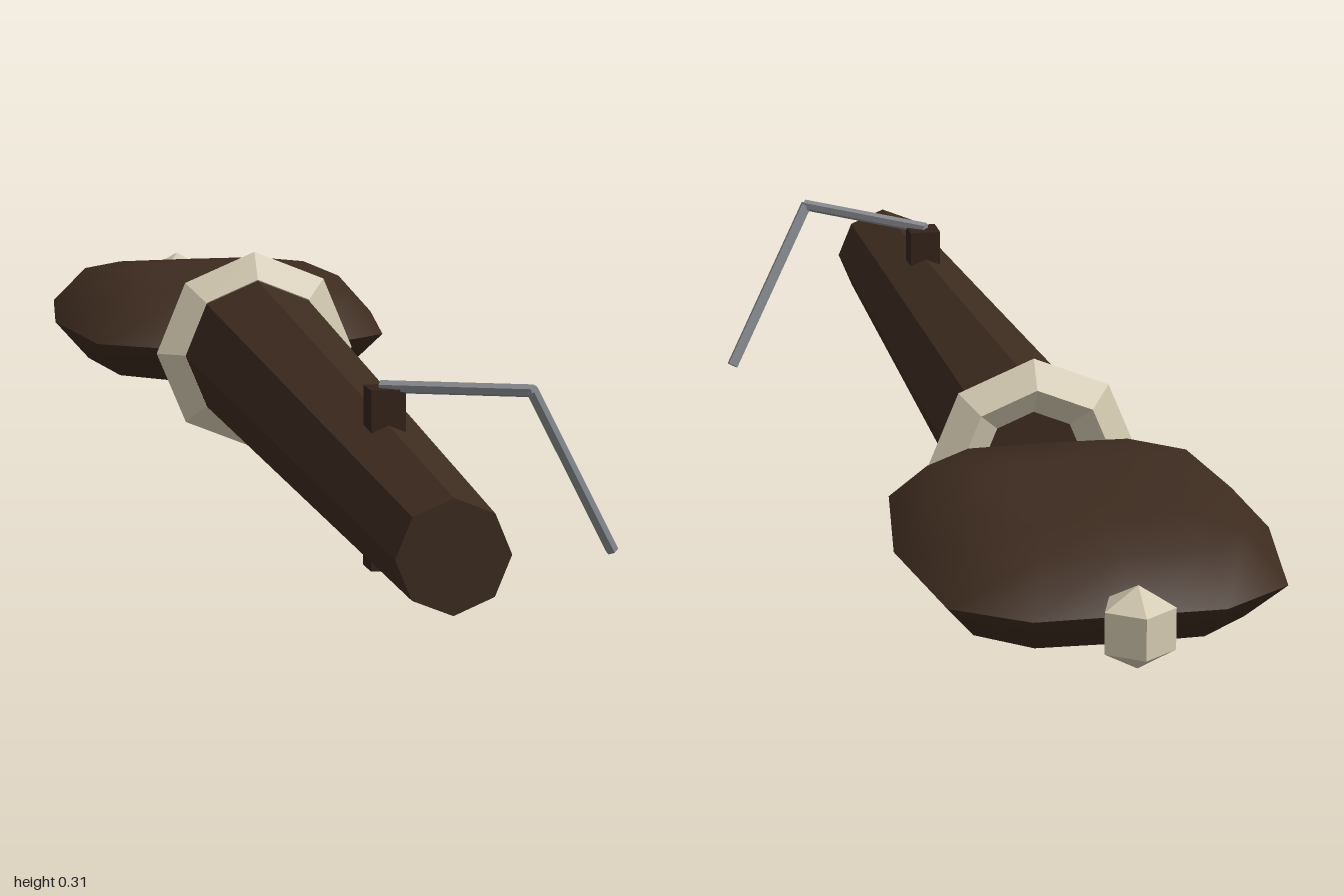
import * as THREE from 'three';
import { toCreasedNormals } from 'three/addons/utils/BufferGeometryUtils.js';

const AX = -0.027; // x of the peg's long axis
const AY = 0.157;  // y of the peg's long axis

export function createModel() {
  const group = new THREE.Group();
  const material = (name, color, flatShading = true) =>
    Object.assign(new THREE.MeshStandardMaterial({ color, flatShading }), { name });
  const wood = material('dark wood', 0x3d2b1f, false);
  const pinWood = material('darker wood', 0x33231a);
  const bone = material('bone', 0xd3c9b1);
  const steel = material('steel', 0x888c90);

  const add = (name, geometry, mat, x = 0, y = 0, z = 0) => {
    const mesh = new THREE.Mesh(geometry, mat);
    mesh.name = name;
    mesh.position.set(x, y, z);
    group.add(mesh);
    return mesh;
  };

  // Tapered octagonal shaft; its axis drops towards the thin front end
  const length = 1.28;
  const shaft = new THREE.CylinderGeometry(0.077, 0.115, length, 8);
  shaft.rotateX(Math.PI / 2);
  const p = shaft.attributes.position;
  for (let i = 0; i < p.count; i++) {
    const t = p.getZ(i) / length + 0.5;
    p.setY(i, p.getY(i) - 0.054 * t);
  }
  add('shaft', toCreasedNormals(shaft, 0.3), wood, AX, AY, 1 - length / 2);

  // Octagonal collar with a diamond section
  const collar = new THREE.TorusGeometry(0.115, 0.04, 4, 8);
  collar.scale(1, 1, 0.65);
  add('collar', collar, bone, AX, AY, -0.281);

  add('head', headGeometry(), wood, AX, AY, -0.615);

  // Faceted bead at the end of the head
  add('endBead', new THREE.SphereGeometry(0.0577, 5, 3, -Math.PI / 2), bone, AX, AY, -0.95);

  // Pin through the shaft
  add('pin', new THREE.BoxGeometry(0.048, 0.25, 0.048), pinWood, AX, 0.13, 0.61);

  // Bent string end
  const bend = [[-0.03, 0.256, 0.61], [0.144, 0.267, 0.744], [0.281, 0.027, 0.66]]
    .map((c) => new THREE.Vector3(...c));
  for (let i = 0; i < 2; i++) {
    const dir = bend[i + 1].clone().sub(bend[i]);
    const rod = add(i ? 'stringTail' : 'stringLead',
      new THREE.CylinderGeometry(0.009, 0.009, dir.length() + 0.004, 6), steel);
    rod.position.copy(bend[i]).addScaledVector(dir, 0.5);
    rod.quaternion.setFromUnitVectors(new THREE.Vector3(0, 1, 0), dir.normalize());
  }
  return group;
}

// Flat pillow-shaped head: crown, shoulder loop, sharp equator loop, mirrored below
function headGeometry() {
  // one quadrant of each loop as [x, z], mirrored into 12 points
  const loop = (quarter, y) => {
    const [a, b, c, d] = quarter;
    const neg = (q, sx, sz) => [q[0] * sx, q[1] * sz];
    return [a, b, c, d, neg(c, -1, 1), neg(b, -1, 1), neg(a, -1, 1),
      neg(b, -1, -1), neg(c, -1, -1), neg(d, 1, -1), neg(c, 1, -1), neg(b, 1, -1)]
      .map(([x, z]) => [x, y, z]);
  };
  const edge = [[0.262, 0], [0.23, 0.225], [0.13, 0.295], [0, 0.295]];
  const shoulder = [[0.208, 0], [0.185, 0.17], [0.115, 0.232], [0, 0.236]];
  const inner = [[0.12, 0], [0.1, 0.09], [0.065, 0.12], [0, 0.125]];
  const rings = [loop(inner, 0.073), loop(shoulder, 0.061), loop(edge, 0),
    loop(shoulder, -0.061), loop(inner, -0.073)];
  const positions = [0, 0.078, 0, ...rings.flat(2), 0, -0.078, 0];
  const n = 12, last = 1 + rings.length * n, index = [];
  for (let j = 0; j < n; j++) {
    const k = (j + 1) % n;
    index.push(0, 1 + k, 1 + j);
    for (let r = 0; r < rings.length - 1; r++) {
      const a = 1 + r * n + j, b = 1 + r * n + k;
      index.push(a, b, b + n, a, b + n, a + n);
    }
    index.push(last, last - n + j, last - n + k);
  }
  const geometry = new THREE.BufferGeometry();
  geometry.setAttribute('position', new THREE.Float32BufferAttribute(positions, 3));
  geometry.setIndex(index);
  return toCreasedNormals(geometry, 0.9);
}
